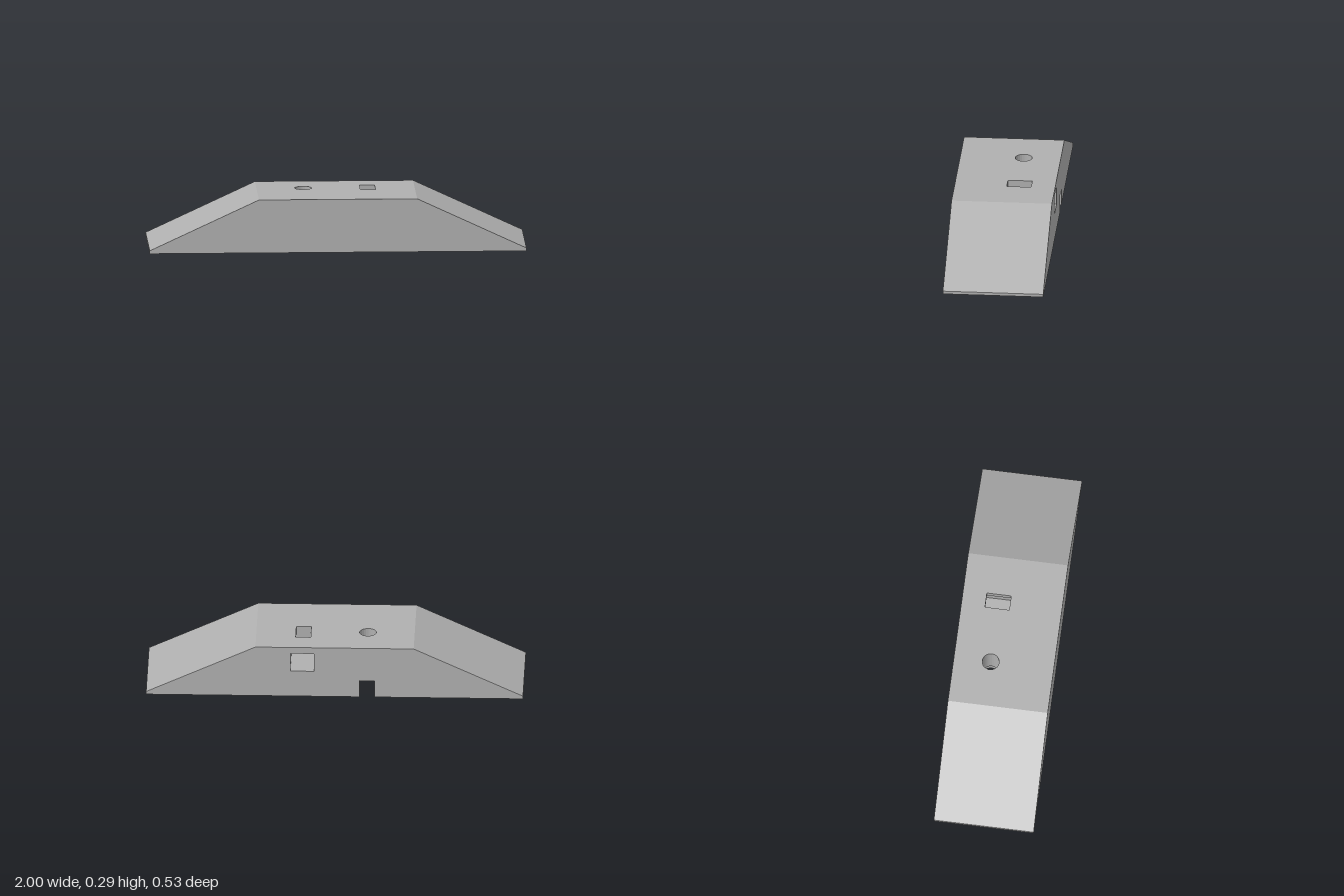
import * as THREE from 'three';

const D = 0.267, H = 0.286, LIP = 0.016, TOP = 0.42;   // half depth, height, end lip, half top length
const HX = -0.172, HZ = -0.07, R = 0.045, BORE = 0.068; // round hole and its wider lower bore
const SLOT = 0.04, STEP = 0.095;                        // cable slot half width and height
const PX0 = 0.108, PX1 = 0.235, PY0 = 0.147, PY1 = 0.25, PZ = -0.01; // rear pocket

const v = (x, y) => new THREE.Vector2(x, y);
const rect = (x0, y0, x1, y1) => [v(x0, y0), v(x1, y0), v(x1, y1), v(x0, y1)];
const arc = (r, a0, a1, n) => Array.from({ length: n + 1 }, (_, i) => {
  const a = a0 + (a1 - a0) * i / n;
  return v(HX + r * Math.cos(a), HZ + r * Math.sin(a));
});

export function createModel() {
  const group = new THREE.Group();
  const grey = new THREE.MeshStandardMaterial({ color: 0xb0b0b0, side: THREE.DoubleSide });
  grey.name = 'grey';

  const add = (name, geometry) => {
    const mesh = new THREE.Mesh(geometry, grey);
    mesh.name = name;
    group.add(mesh);
  };
  // Flat face from an outline with optional holes
  const face = (outline, holes = []) => {
    const shape = new THREE.Shape(outline);
    holes.forEach(h => shape.holes.push(new THREE.Path(h)));
    return new THREE.ShapeGeometry(shape);
  };
  const flip = (pts, sx, sy) => pts.map(p => v(p.x * sx, p.y * sy));
  // Horizontal faces take outlines in (x, z)
  const upFace = (o, y, holes = []) =>
    face(flip(o, 1, -1), holes.map(h => flip(h, 1, -1))).rotateX(-Math.PI / 2).translate(0, y, 0);
  const downFace = (o, y, holes = []) => face(o, holes).rotateX(Math.PI / 2).translate(0, y, 0);
  // Strip of walls along a path between two levels
  const walls = (path, h0, h1, place, closed = true) => {
    const pos = [];
    const count = closed ? path.length : path.length - 1;
    for (let i = 0; i < count; i++) {
      const p = path[i], q = path[(i + 1) % path.length];
      const a = place(p, h0), b = place(q, h0), c = place(q, h1), d = place(p, h1);
      pos.push(...a, ...b, ...c, ...a, ...c, ...d);
    }
    const g = new THREE.BufferGeometry();
    g.setAttribute('position', new THREE.Float32BufferAttribute(pos, 3));
    g.computeVertexNormals();
    return g;
  };
  const plan = (p, h) => [p.x, h, p.y];
  const elevation = (p, h) => [p.x, p.y, h];

  // Opening outlines
  const hole = arc(R, 0, Math.PI * 2, 24).slice(0, -1);
  const bite = Math.acos(SLOT / BORE);
  const keyhole = [v(HX + SLOT, -D), ...arc(BORE, -bite, Math.PI + bite, 24), v(HX - SLOT, -D)];
  const topSlot = rect(0.13, -0.14, 0.21, PZ);
  const pocket = rect(PX0, PY0, PX1, PY1);

  // Outer shell
  const upper = [v(1, 0), v(1, LIP), v(TOP, H), v(-TOP, H), v(-1, LIP), v(-1, 0)];
  const notch = [v(HX - SLOT, 0), v(HX - SLOT, STEP), v(HX + SLOT, STEP), v(HX + SLOT, 0)];
  add('frontSide', face(upper).translate(0, 0, D));
  add('backSide', face(flip([...upper, ...notch], -1, 1), [flip(pocket, -1, 1)])
    .rotateY(Math.PI).translate(0, 0, -D));
  add('topDeck', upFace(rect(-TOP, -D, TOP, D), H, [hole, topSlot]));
  add('underside', downFace([v(-1, -D), ...[...keyhole].reverse(), v(1, -D), v(1, D), v(-1, D)], 0));
  add('leftRamp', walls(upper.slice(0, 3), D, -D, elevation, false));
  add('rightRamp', walls(upper.slice(3), D, -D, elevation, false));

  // Round hole opening into the keyhole recess below
  add('holeWall', walls(hole, STEP, H, plan));
  add('keyholeWall', walls(keyhole, 0, STEP, plan, false));
  add('keyholeCeiling', downFace(keyhole, STEP, [hole]));

  // Rear pocket joined to the slot in the deck
  const [a, b, c, d] = pocket;
  add('pocketSides', walls([a, b, c], PZ, -D, elevation, false));
  add('pocketFarSide', walls([d, a], PZ, -D, elevation, false));
  add('pocketCeiling', downFace(rect(PX0, -D, PX1, PZ), PY1, [topSlot.map(p => v(p.x, Math.min(p.y, PZ - 0.001)))]));
  add('pocketEnd', face(pocket).rotateY(Math.PI).translate(PX0 + PX1, 0, PZ));
  add('topSlotWall', walls(topSlot, PY1, H, plan));
  return group;
}
